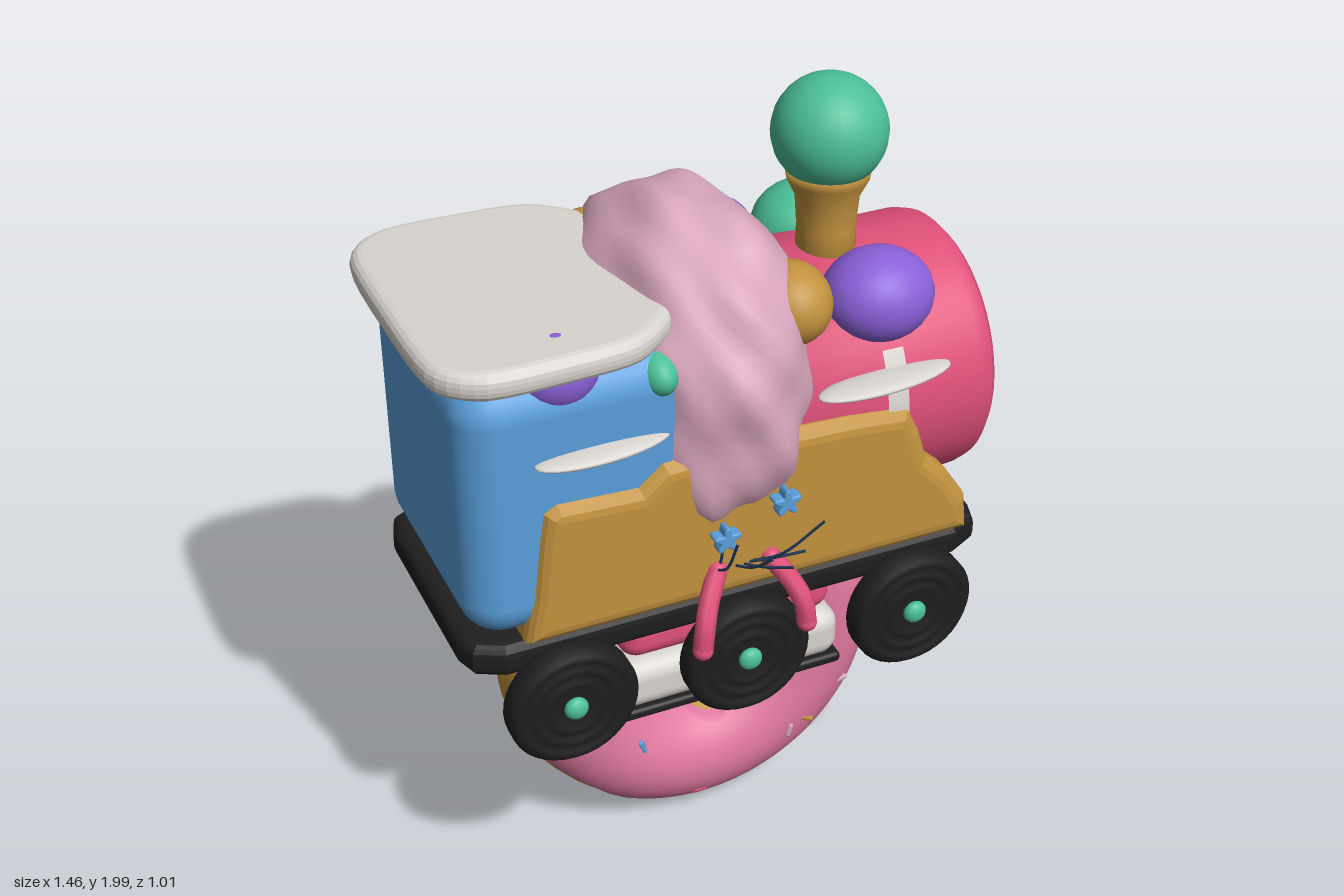
import * as THREE from 'three';
import { RoundedBoxGeometry } from 'three/addons/geometries/RoundedBoxGeometry.js';
import { ParametricGeometry } from 'three/addons/geometries/ParametricGeometry.js';

const ZC = -0.04; // middle of the train across its width

function mat(name, color, side = THREE.FrontSide) {
  const m = new THREE.MeshStandardMaterial({ color, side });
  m.name = name;
  return m;
}

export function createModel() {
  const root = new THREE.Group();
  root.name = 'candyTrain';
  const gold = mat('biscuitGold', 0xc2923e), red = mat('raspberryRed', 0xdf5078);
  const icing = mat('icingPink', 0xdf789f, THREE.DoubleSide), blue = mat('candyBlue', 0x5a9fdc);
  const pale = mat('palePink', 0xdba8bf), green = mat('mintGreen', 0x4bbf98);
  const purple = mat('grapePurple', 0x8a60d8), white = mat('creamWhite', 0xd8d4cf, THREE.DoubleSide);
  const black = mat('liquoriceBlack', 0x1e1e1e), navy = mat('stemBlue', 0x294a6c);

  function add(name, geo, material, x = 0, y = 0, z = 0, parent = root) {
    const m = new THREE.Mesh(geo, material);
    m.name = name;
    m.position.set(x, y, z);
    parent.add(m);
    return m;
  }
  const ball = (name, material, p, r, parent) => {
    const m = add(name, new THREE.SphereGeometry(1, 28, 18), material, ...p, parent);
    m.scale.set(...r);
    return m;
  };
  const box = (name, material, p, s, r) =>
    add(name, new RoundedBoxGeometry(...s, 4, r), material, ...p);
  const tube = (name, material, pts, r, seg = 14) => add(name, new THREE.TubeGeometry(
    new THREE.CatmullRomCurve3(pts.map(p => new THREE.Vector3(...p))), seg, r, 8), material);
  const outline = pts => new THREE.Shape(pts.map(p => new THREE.Vector2(...p)));
  // smooth closed outline through a few points
  const blob = pts => new THREE.Shape(new THREE.CatmullRomCurve3(
    pts.map(p => new THREE.Vector3(p[0], p[1], 0)), true, 'catmullrom', 0.4).getPoints(60)
    .slice(0, -1).map(p => new THREE.Vector2(p.x, p.y)));
  // extruded slab centred on its thickness, with rounded edges
  function slab(shape, thick, bevel) {
    const g = new THREE.ExtrudeGeometry(shape, { depth: thick - 2 * bevel, bevelEnabled: true,
      bevelThickness: bevel, bevelSize: bevel, bevelOffset: -bevel, bevelSegments: 4, curveSegments: 8 });
    return g.translate(0, 0, bevel - thick / 2);
  }

  // Ring cake: biscuit ring with an icing cap on each side
  const R = 0.35, r = 0.16, cy = 0.52;
  add('ringBiscuit', new THREE.TorusGeometry(R, r, 24, 64).scale(1, 1, 1.13), gold, 0, cy, ZC);
  for (const s of [1, -1]) {
    const cap = new ParametricGeometry((u, v, t) => {
      const th = u * Math.PI * 2;
      const a0 = 0.42 + 0.13 * Math.sin(5 * th + s) + 0.09 * Math.sin(8 * th + 1);
      const a1 = 2.75 + 0.2 * Math.sin(7 * th + 2 * s);
      const a = a0 + (a1 - a0) * v;
      const q = r * (0.985 + 0.065 * Math.min(1, 9 * Math.min(v, 1 - v)));
      t.set((R + q * Math.cos(a)) * Math.cos(th), (R + q * Math.cos(a)) * Math.sin(th), s * 1.13 * q * Math.sin(a));
    }, 96, 22);
    add(s > 0 ? 'frontIcing' : 'backIcing', cap, icing, 0, cy, ZC);
    // sprinkles
    const tints = [gold, blue, red, pale];
    [[-2.75, 0.36], [-2.3, 0.29], [-1.63, 0.43], [-0.92, 0.37], [-0.78, 0.39], [-0.28, 0.27], [-2.95, 0.29], [-0.45, 0.42]]
      .forEach(([th, d], i) => {
        const k = (d - R) / r;
        const m = add('sprinkle', new THREE.CapsuleGeometry(0.009, 0.028, 3, 6), tints[(i + (s < 0 ? 1 : 0)) % 4],
          d * Math.cos(th), cy + d * Math.sin(th), ZC + s * 1.17 * r * Math.sqrt(1 - k * k));
        m.rotation.z = i * 1.3 - 1;
      });
  }

  // Striped sweet in the ring's hole
  const sweet = new THREE.Group();
  sweet.name = 'stripedSweet';
  sweet.position.set(0, 0.56, ZC);
  sweet.rotation.z = -0.75;
  root.add(sweet);
  for (let i = 0; i < 9; i++) {
    add('sweetBand', new THREE.SphereGeometry(0.145, 28, 4, 0, Math.PI * 2, i * Math.PI / 9, Math.PI / 9),
      i % 2 ? white : red, 0, 0, 0, sweet);
  }

  // Undercarriage and deck
  box('redUndercarriage', red, [0, 0.745, ZC], [0.57, 0.12, 0.58], 0.05);
  box('creamUndercarriage', white, [0, 0.612, ZC], [0.61, 0.14, 0.61], 0.05);
  box('lowerPlate', black, [0, 0.535, ZC], [0.61, 0.03, 0.61], 0.012);
  const deck = outline([[-0.69, -0.24], [-0.67, -0.3], [-0.6, -0.335], [0.6, -0.335], [0.67, -0.3], [0.69, -0.24],
    [0.69, 0.24], [0.67, 0.3], [0.6, 0.335], [-0.6, 0.335], [-0.67, 0.3], [-0.69, 0.24]]);
  add('deck', slab(deck, 0.09, 0.03), black, 0, 0.832, ZC).rotation.x = -Math.PI / 2;

  // Wheels with ridged faces
  const profile = [[0, -0.036], [0.145, -0.036], [0.165, -0.02], [0.165, 0.02], [0.15, 0.036], [0.132, 0.036], [0.124, 0.027],
    [0.114, 0.036], [0.096, 0.036], [0.088, 0.027], [0.078, 0.036], [0.06, 0.036], [0.052, 0.028], [0, 0.028]]
    .map(p => new THREE.Vector2(...p));
  for (const s of [1, -1]) for (const x of [-0.455, 0, 0.455]) {
    const wheel = new THREE.Group();
    wheel.name = 'wheel';
    wheel.position.set(x, 0.702, ZC + s * 0.367);
    wheel.rotation.x = s * Math.PI / 2;
    root.add(wheel);
    add('tyre', new THREE.LatheGeometry(profile, 36), black, 0, 0, 0, wheel);
    if (s < 0 && x === 0) ball('wheelBall', pale, [0, 0.03, 0], [0.1, 0.068, 0.1], wheel);
    else ball('hub', green, [0, 0.034, 0], [0.03, 0.02, 0.03], wheel);
  }

  // Cab and its roof
  box('cab', blue, [-0.375, 1.225, ZC], [0.6, 0.69, 0.66], 0.1);
  const roof = blob([[-0.72, 0.28], [-0.62, 0.375], [-0.42, 0.38], [-0.25, 0.36], [-0.13, 0.25], [-0.15, 0.1],
    [-0.15, -0.1], [-0.12, -0.24], [-0.25, -0.36], [-0.42, -0.38], [-0.62, -0.375], [-0.72, -0.28], [-0.732, 0]]);
  add('roof', slab(roof, 0.072, 0.03), white, 0, 1.603, -0.05).rotation.x = -Math.PI / 2;

  // Biscuit body with a wavy top edge
  const body = outline([[-0.55, 0.87], [-0.525, 1.0], [-0.51, 1.13], [-0.495, 1.23], [-0.46, 1.25], [-0.26, 1.24],
    [-0.2, 1.29], [0, 1.3], [0.28, 1.29], [0.44, 1.275], [0.475, 1.2], [0.5, 1.12], [0.56, 1.06], [0.62, 0.97], [0.63, 0.87]]);
  add('biscuitBody', slab(body, 0.71, 0.045), gold, 0, 0, ZC);

  // Boiler, lying along x
  const boiler = new THREE.LatheGeometry([[0, 0.7], [0.25, 0.703], [0.3, 0.695], [0.322, 0.675], [0.331, 0.64],
    [0.331, 0.45], [0.325, 0], [0, 0]].reverse().map(p => new THREE.Vector2(...p)), 48);
  add('boiler', boiler, red, 0, 1.24, ZC).rotation.z = -Math.PI / 2;
  for (const s of [1, -1]) {
    // cream strap on each flank, and the slim fins
    const strap = new THREE.CylinderGeometry(0.335, 0.335, 0.055, 12, 1, true, s * Math.PI / 2 - 0.55, 1.1);
    strap.rotateY(-Math.PI / 2).rotateZ(-Math.PI / 2);
    strap.computeBoundingBox();
    const mid = (strap.boundingBox.min.z + strap.boundingBox.max.z) / 2;
    if (Math.abs(mid) < 0.1) strap.rotateX(Math.PI / 2);
    add('boilerStrap', strap, white, 0.413, 1.24, ZC);
    for (const [x, w] of [[-0.34, 0.17], [0.375, 0.182]]) {
      const fin = ball('fin', white, [x, 1.36, ZC + s * 0.325], [w, 0.017, 0.055]);
      fin.rotation.y = s * 0.08;
    }
    // eyes
    ball('eye', black, [0.703, 1.265, ZC + s * 0.125], [0.02, 0.052, 0.042]);
  }
  tube('smile', black, [[0.707, 1.135, ZC + 0.055], [0.709, 1.112, ZC + 0.03], [0.709, 1.104, ZC],
    [0.709, 1.112, ZC - 0.03], [0.707, 1.135, ZC - 0.055]], 0.009);

  // Chimney with a cherry on top
  const stack = [[0, 1.48], [0.075, 1.48], [0.072, 1.62], [0.078, 1.7], [0.1, 1.745], [0.105, 1.775], [0, 1.775]];
  add('chimney', new THREE.LatheGeometry(stack.map(p => new THREE.Vector2(...p)), 28), gold, 0.375, 0, ZC);
  ball('chimneyCherry', green, [0.375, 1.862, ZC], [0.14, 0.138, 0.14]);

  // Whipped cream draped over the middle, rounder above than below
  const cream = new THREE.SphereGeometry(1, 48, 32);
  const pos = cream.attributes.position, v = new THREE.Vector3();
  for (let i = 0; i < pos.count; i++) {
    v.fromBufferAttribute(pos, i);
    const n = v.y > 0 ? 2.15 : 2 + 1.3 * Math.min(1, -v.y * 3);
    const k = Math.pow(Math.abs(v.y) ** n + Math.hypot(v.x, v.z) ** n, -1 / n);
    const lump = 1 + 0.035 * Math.sin(7 * v.x + 5 * v.y + 1) * Math.cos(6 * v.z - 3 * v.y)
      + 0.025 * Math.sin(11 * v.y + 4 * v.x) * Math.sin(9 * v.x + 2);
    const taper = v.y < 0 ? 1 - 0.35 * v.y * v.y : 1;
    pos.setXYZ(i, v.x * k * lump * 0.275 * taper, v.y * k * lump * 0.385, v.z * k * lump * 0.415);
  }
  cream.computeVertexNormals();
  add('whippedCream', cream, pale, 0, 1.39, ZC);

  // Sweets pressed into the cream, boiler and cab
  ball('goldSweet', gold, [0.18, 1.55, 0.16], [0.1, 0.1, 0.11]);
  ball('goldSweet', gold, [-0.14, 1.55, -0.29], [0.09, 0.09, 0.1]);
  ball('purpleSweet', purple, [0.19, 1.52, -0.28], [0.1, 0.09, 0.09]);
  ball('purpleSweet', purple, [0.42, 1.51, 0.145], [0.14, 0.115, 0.125]);
  ball('greenSweet', green, [0.42, 1.51, -0.25], [0.135, 0.115, 0.12]);
  ball('greenSweet', green, [-0.19, 1.5, 0.23], [0.05, 0.055, 0.08]);
  ball('purpleSweet', purple, [-0.42, 1.55, 0.22], [0.1, 0.09, 0.08]);

  // Little legs at the front
  for (const s of [1, -1]) {
    tube('leg', red, [[s * 0.07, 0.96, 0.315], [s * 0.11, 0.9, 0.355], [s * 0.13, 0.85, 0.38], [s * 0.138, 0.79, 0.385]], 0.025);
    ball('legTip', red, [s * 0.07, 0.96, 0.315], [0.025, 0.025, 0.025]);
    ball('legFoot', red, [s * 0.138, 0.79, 0.385], [0.025, 0.025, 0.025]);
  }

  // Flowers and grass stems
  const star = new THREE.Shape();
  for (let i = 0; i <= 50; i++) {
    const a = i * Math.PI / 25, d = 0.027 + 0.009 * Math.sin(5 * a);
    star[i ? 'lineTo' : 'moveTo'](d * Math.cos(a), d * Math.sin(a));
  }
  for (const [x, y, z] of [[0.025, 1.235, 0.472], [-0.08, 1.1, 0.38]]) {
    add('flower', slab(star, 0.036, 0.005), blue, x, y, z);
  }
  for (const [x0, x1, y1, z1] of [[-0.07, -0.105, 1.17, 0.5], [-0.02, -0.015, 1.1, 0.5], [0.02, 0.115, 1.17, 0.5],
    [0, 0.04, 1.06, 0.5], [-0.06, -0.08, 1.1, 0.37], [0.01, 0.1, 1.05, 0.44]]) {
    tube('stem', navy, [[x0, 0.95, 0.3], [x0 * 0.6 + x1 * 0.4, 0.98 + (y1 - 0.98) * 0.25, 0.3 + (z1 - 0.3) * 0.5], [x1, y1, z1]], 0.0035);
  }
  return root;
}
